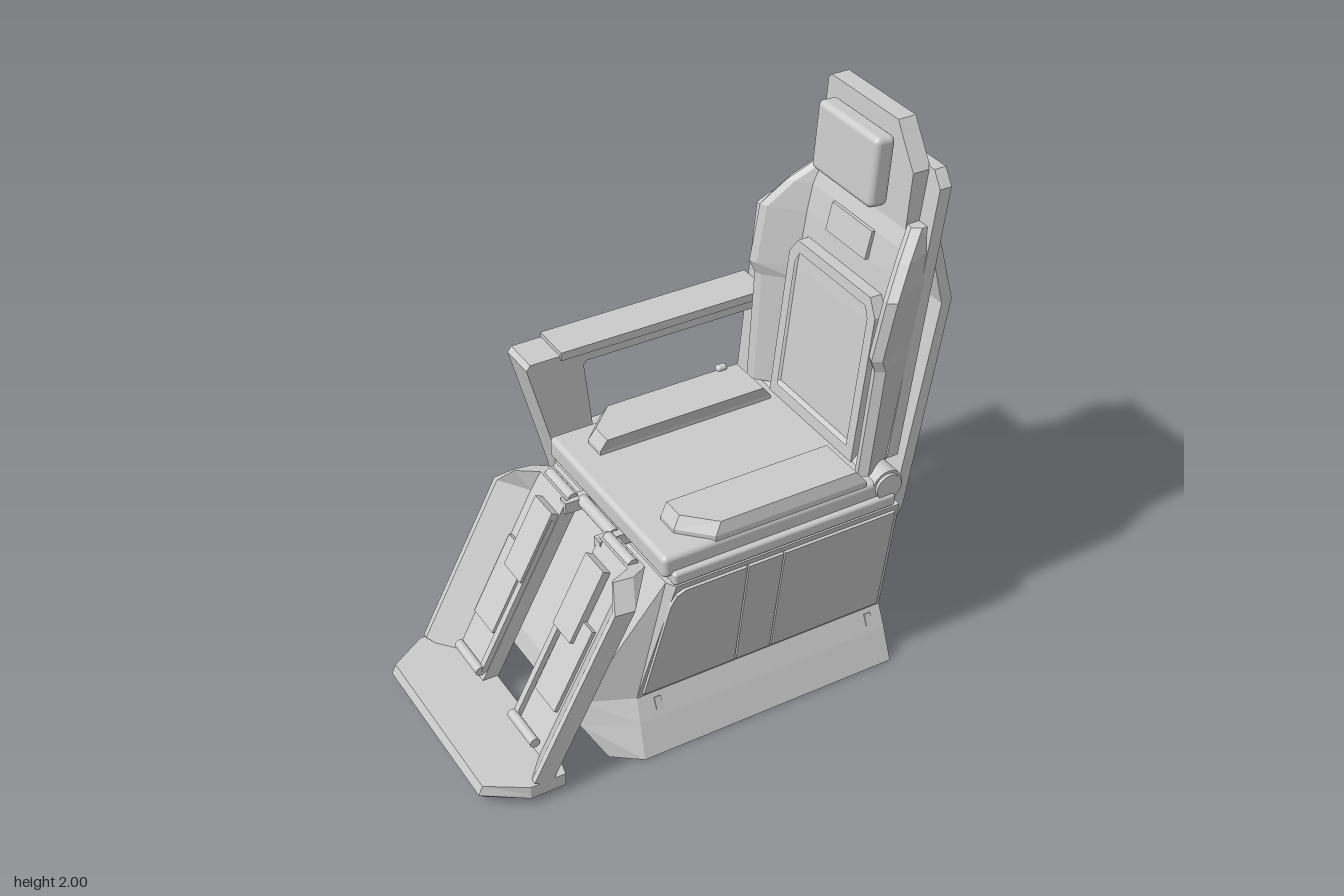
import * as THREE from 'three';
import { RoundedBoxGeometry } from 'three/addons/geometries/RoundedBoxGeometry.js';

const MID = 0.06; // centre line of the seat in z

export function createModel() {
  const root = new THREE.Group();
  const mat = new THREE.MeshStandardMaterial({ color: 0xcccccc, flatShading: true });
  const smooth = new THREE.MeshStandardMaterial({ color: 0xcccccc });

  function add(name, geo, x = 0, y = 0, z = 0, material = mat) {
    const m = new THREE.Mesh(geo, material);
    m.name = name;
    m.position.set(x, y, z);
    root.add(m);
    return m;
  }
  const box = (name, x0, x1, y0, y1, z0, z1) =>
    add(name, new THREE.BoxGeometry(x1 - x0, y1 - y0, z1 - z0), (x0 + x1) / 2, (y0 + y1) / 2, (z0 + z1) / 2);
  const padBox = (name, x0, x1, y0, y1, z0, z1, r) =>
    add(name, new RoundedBoxGeometry(x1 - x0, y1 - y0, z1 - z0, 3, r), (x0 + x1) / 2, (y0 + y1) / 2, (z0 + z1) / 2, smooth);
  const rod = (name, x, y, z0, z1, r) => {
    const m = add(name, new THREE.CylinderGeometry(r, r, z1 - z0, 24), x, y, (z0 + z1) / 2, smooth);
    m.rotation.x = Math.PI / 2;
  };
  const extrude = (pts, depth, hole) => {
    const s = new THREE.Shape(pts.map(p => new THREE.Vector2(...p)));
    if (hole) s.holes.push(new THREE.Path(hole.map(p => new THREE.Vector2(...p))));
    return new THREE.ExtrudeGeometry(s, { depth, bevelEnabled: false });
  };
  // side profile (x, y) given thickness in z
  const sideProfile = (name, pts, z0, z1, hole) => add(name, extrude(pts, z1 - z0, hole), 0, 0, z0);
  // upright panel (z, y) that leans: back x at height y is x0 + k * (y - y0)
  function leaning(name, pts, x0, y0, k, thick, hole) {
    const g = extrude(pts, thick, hole).rotateY(-Math.PI / 2);
    const p = g.attributes.position;
    for (let i = 0; i < p.count; i++) p.setX(i, p.getX(i) + x0 + k * (p.getY(i) - y0));
    g.computeVertexNormals();
    add(name, g);
  }
  // closed solid through matching cross-sections
  function loft(name, rings, map) {
    const n = rings[0].length, pos = [], idx = [];
    rings.forEach((r, i) => r.forEach(p => pos.push(...map(p, i))));
    for (let i = 0; i < rings.length - 1; i++)
      for (let j = 0; j < n; j++) {
        const a = i * n + j, b = i * n + (j + 1) % n;
        idx.push(a, b, b + n, a, b + n, a + n);
      }
    const v2 = r => r.map(p => new THREE.Vector2(...p));
    const cw = THREE.ShapeUtils.isClockWise(v2(rings[0]));
    const last = (rings.length - 1) * n;
    for (const [r, o, top] of [[rings[0], 0, false], [rings[rings.length - 1], last, true]])
      for (const [a, b, c] of THREE.ShapeUtils.triangulateShape(v2(r), []))
        idx.push(...((top !== cw) ? [a + o, b + o, c + o] : [a + o, c + o, b + o]));
    // make the faces point outward
    const P = k => new THREE.Vector3(pos[k * 3], pos[k * 3 + 1], pos[k * 3 + 2]);
    let vol = 0;
    for (let k = 0; k < idx.length; k += 3) vol += P(idx[k]).dot(P(idx[k + 1]).cross(P(idx[k + 2])));
    if (vol < 0) idx.reverse();
    const g = new THREE.BufferGeometry();
    g.setAttribute('position', new THREE.Float32BufferAttribute(pos, 3));
    g.setIndex(idx);
    const flat = g.toNonIndexed();
    flat.computeVertexNormals();
    add(name, flat);
  }

  // base: waisted body with chamfered front corners [y, front x, corner x, half width, front half width]
  const base = [[0, -0.43, -0.33, 0.435, 0.36], [0.12, -0.5, -0.32, 0.385, 0.29],
    [0.2, -0.48, -0.31, 0.345, 0.27], [0.69, -0.22, -0.2, 0.415, 0.38]];
  loft('base', base.map(([, f, c, w, wf]) => [[0.68, -w], [0.68, w], [c, w], [f, wf], [f, -wf], [c, -w]]),
    ([x, z], i) => [x, base[i][0], z + MID]);

  // side doors with a rounded front corner, tilted to the body sides
  const doors = [
    [[-0.29, 0.01], [0.068, 0.01], [0.068, 0.465], [-0.17, 0.465], [-0.2, 0.45], [-0.22, 0.41]],
    [[0.074, 0.01], [0.21, 0.01], [0.21, 0.465], [0.074, 0.465]],
    [[0.216, 0.01], [0.66, 0.01], [0.66, 0.465], [0.216, 0.465]]];
  for (const s of [1, -1]) {
    for (const pts of doors) {
      const d = sideProfile('sideDoor', pts, 0, 0.02);
      d.position.set(0, 0.21, MID + s * 0.345 - (s < 0 ? 0.012 : 0.008));
      d.rotation.x = s * 0.142;
    }
    // small latches on the plinth
    for (const x of [-0.25, 0.61]) {
      const l = box('plinthLatch', x, x + 0.025, 0.14, 0.185, 0, 0.012);
      l.position.z = MID + s * 0.362;
      l.rotation.x = -s * 0.423;
    }
  }

  // rear pedestal and turntable disc
  loft('rearPedestal', [[0.755, 0.11], [0.8, 0.125], [0.7, 0.125]].map(([x, w]) =>
    [[0.6, -w], [x - 0.05, -w], [x, -w + 0.04], [x, w - 0.04], [x - 0.05, w], [0.6, w]]),
    ([x, z], i) => [x, [0.2, 0.57, 0.655][i], z + MID + 0.005]);
  for (const [y, h, r] of [[0.161, 0.026, 0.255], [0.177, 0.01, 0.245], [0.193, 0.024, 0.255]])
    add('turntable', new THREE.CylinderGeometry(r, r, h, 48), 0.583, y, 0.065, smooth);

  // seat
  const z0 = -0.33, z1 = 0.46;
  padBox('seatFrame', -0.21, 0.66, 0.695, 0.745, z0, z1 + 0.02, 0.012);
  padBox('seatCushion', -0.24, 0.62, 0.72, 0.805, z0, z1, 0.02);
  for (const s of [1, -1]) {
    const o = MID + 0.005 + s * 0.39, i = MID + 0.005 + s * 0.205;
    const pts = [[-0.14, i], [-0.14, o - s * 0.1], [-0.04, o], [0.55, o], [0.55, i]];
    loft('seatBolster', [pts, pts, pts.map(([x, z]) => [x + (x < 0 ? 0.025 : -0.035), z + (MID - z) * 0.03])],
      ([x, z], k) => [x, [0.78, 0.82, 0.864][k], z]);
  }
  rod('reclinePivot', 0.635, 0.775, z0, z1, 0.06);
  rod('pivotCap', 0.635, 0.775, z1, z1 + 0.012, 0.05);
  padBox('buckle', 0.43, 0.47, 0.8, 0.88, -0.33, -0.3, 0.01);

  // backrest cushion with wings [y, back x, wing x, wing half width, back half width, centre x]
  const back = [[0.82, 0.7, 0.54, 0.37, 0.3, 0.62], [1.24, 0.765, 0.57, 0.385, 0.305, 0.665],
    [1.29, 0.77, 0.55, 0.39, 0.305, 0.67], [1.5, 0.8, 0.59, 0.395, 0.305, 0.7], [1.6, 0.81, 0.665, 0.345, 0.3, 0.72],
    [1.68, 0.82, 0.745, 0.29, 0.29, 0.75]];
  loft('backCushion', back.map(([, b, f, w, wb, c]) => [[b, -wb], [b, wb], [f + 0.03, w], [f, w - 0.02],
    [f + 0.01, w - 0.05], [c, 0.25], [c, -0.25], [f + 0.01, 0.05 - w], [f, 0.02 - w], [f + 0.03, -w]]),
    ([x, z], i) => [x, back[i][0], z + MID + 0.005]);
  leaning('lumbarTrim', [[-0.19, 0.8], [-0.19, 1.36], [-0.15, 1.42], [0.28, 1.42], [0.32, 1.36], [0.32, 0.8]],
    0.63, 0.82, 0.108, 0.05, [[-0.15, 0.85], [-0.15, 1.34], [-0.13, 1.38], [0.26, 1.38], [0.28, 1.34], [0.28, 0.85]]);
  leaning('shoulderPad', [[-0.05, 1.5], [0.18, 1.5], [0.18, 1.6], [-0.05, 1.6]], 0.715, 1.5, 0.23, 0.03);

  // back shell, ribs and grab slot frame
  leaning('backShell', [[-0.25, 0.82], [0.38, 0.82], [0.38, 1.82], [0.335, 1.87], [-0.205, 1.87], [-0.25, 1.82]],
    0.715, 0.7, 0.128, 0.045);
  for (const y of [1.27, 1.43])
    leaning('backRib', [[-0.16, y], [0.29, y], [0.29, y + 0.022], [-0.16, y + 0.022]], 0.725, 0.7, 0.128, 0.03);
  leaning('slotFrame', [[-0.08, 1.75], [0.21, 1.75], [0.21, 1.785], [-0.08, 1.785]], 0.72, 0.7, 0.128, 0.02,
    [[-0.072, 1.758], [0.202, 1.758], [0.202, 1.777], [-0.072, 1.777]]);

  // head plate and headrest
  leaning('headPlate', [[-0.19, 1.65], [0.31, 1.65], [0.31, 1.86], [0.23, 1.96], [0.2, 2], [-0.175, 2], [-0.19, 1.985]],
    0.81, 1.65, 0.07, 0.068);
  padBox('headrest', 0.659, 0.737, 1.715, 1.963, -0.11, 0.23, 0.022).rotation.z = -0.07;
  for (const z of [0, 0.09]) box('headrestMount', 0.71, 0.78, 1.825, 1.85, z, z + 0.03);

  // bent rear struts
  for (const z of [-0.245, 0.285])
    sideProfile('rearStrut', [[0.81, 1.64], [0.84, 1.62], [0.905, 1.39], [0.775, 0.59], [0.68, 0.375], [0.66, 0.5],
      [0.735, 0.62], [0.865, 1.38], [0.82, 1.55]], z, z + 0.09);

  // armrest: windowed upper panel, thicker lower panel, pad and rear riser
  sideProfile('armPanel', [[-0.3, 1.075], [-0.285, 1.095], [0.792, 1.095], [0.738, 0.66], [-0.187, 0.66]], -0.502, -0.36,
    [[-0.08, 1.03], [-0.07, 1.045], [0.65, 1.045], [0.61, 0.73], [-0.045, 0.73]]);
  const lower = [[-0.502, 0.29], [-0.27, 0.25], [-0.345, 0.69], [-0.502, 0.69]];
  loft('lowerArmPanel', [lower, lower], ([z, y], i) =>
    [i ? 0.69 + (y - 0.28) * 0.128 : -0.09 - (y - 0.28) * 0.256, y, z]);
  box('armPad', -0.17, 0.66, 1.08, 1.112, -0.506, -0.352);
  sideProfile('armRiser', [[0.69, 1.395], [0.74, 1.42], [0.81, 1.42], [0.832, 1.39], [0.739, 0.66], [0.62, 0.66]],
    -0.482, -0.34);
  sideProfile('riserHead', [[0.7, 1.395], [0.74, 1.42], [0.81, 1.42], [0.832, 1.39], [0.787, 1.04], [0.7, 1.04]],
    -0.475, -0.255);
  leaning('riserHatch', [[-0.43, 1.085], [-0.3, 1.085], [-0.3, 1.38], [-0.43, 1.38]], 0.797, 1.085, 0.128, 0.02);

  // legrest: two sloping boards whose wings rise outward from a sunken floor
  // [distance from centre, depth behind the front]
  const alongBoard = (w, d, t) => {
    const h = 0.13 - d;
    return [-0.63 + t * 0.37 - h * 0.884, 0.03 + t * 0.7 + h * 0.467, w];
  };
  const section = [[0.115, 0.075], [0.31, 0.075], [0.41, 0], [0.43, 0], [0.43, 0.07], [0.34, 0.13], [0.115, 0.13]];
  const tip = section.map(([w, d]) => [w - Math.max(0, w - 0.3) * 0.6, d]);
  const angle = -Math.atan2(0.37, 0.7);
  for (const s of [1, -1]) {
    loft('legBoard', [section, section, tip], ([w, d], i) =>
      alongBoard(MID + s * w, d, [0, 0.9, 1][i] - (i ? (0.13 - d) * 0.5 : 0)));
    // pads lying on the floor [name, offset, position along board, length, width, depth]
    for (const [name, w, t, len, width, d] of [['calfPad', 0.23, 0.45, 0.32, 0.14, 0.06],
      ['upperCalfPad', 0.18, 0.72, 0.28, 0.12, 0.045], ['slideRail', 0.13, 0.47, 0.62, 0.025, 0.055]])
      add(name, new THREE.BoxGeometry(0.06, len, width), ...alongBoard(MID + s * w, d + 0.03, t)).rotation.z = angle;
    // foot and knee fittings
    const a = MID + s * 0.12, b = MID + s * 0.29;
    rod('footHinge', -0.67, 0.12, Math.min(a, b), Math.max(a, b), 0.018);
    rod('kneeHinge', -0.29, 0.73, Math.min(a, b), Math.max(a, b), 0.02);
    box('hingeArm', -0.33, -0.2, 0.69, 0.735, a - 0.02, a + 0.02);
  }
  rod('kneeBar', -0.26, 0.72, MID - 0.11, MID + 0.11, 0.022);

  // foot plate with chamfered corners
  const foot = inset => [[-0.91 + inset, MID - 0.345], [-0.76, MID - 0.43], [-0.63, MID - 0.43], [-0.61, MID - 0.34],
    [-0.61, MID + 0.34], [-0.63, MID + 0.43], [-0.76, MID + 0.43], [-0.91 + inset, MID + 0.345]];
  loft('footPlate', [foot(0.02), foot(0), foot(0.015)], ([x, z], i) => [x, [0.03, 0.045, 0.08][i], z]);

  return root;
}
